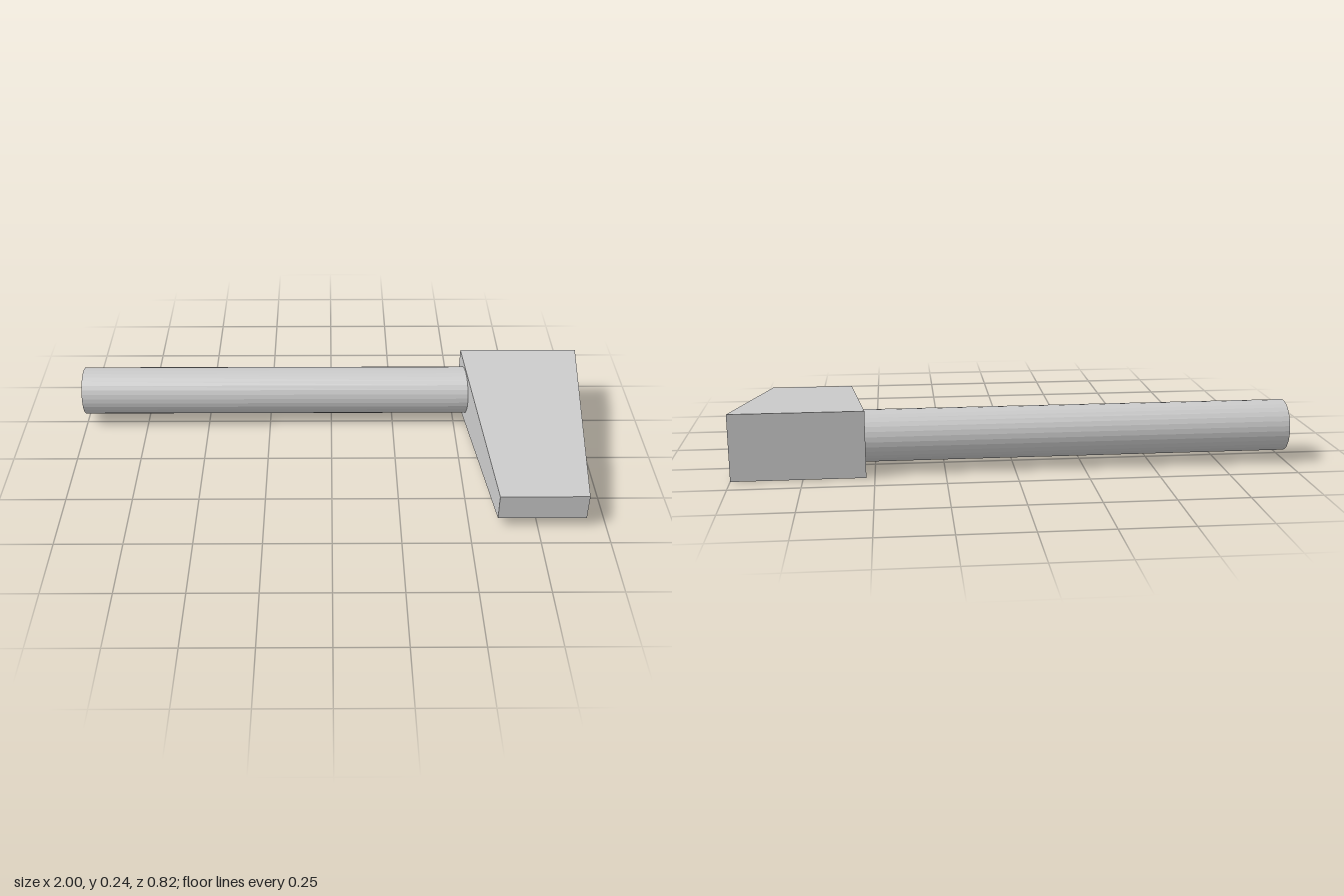
import * as THREE from 'three';

const material = new THREE.MeshStandardMaterial({ color: 0xcccccc, flatShading: true });

// Box whose back and front ends are different rectangles: { x: [min, max], y: [min, max], z }
function taperedBlock(back, front) {
  const geometry = new THREE.BoxGeometry(1, 1, 1);
  const p = geometry.attributes.position;
  for (let i = 0; i < p.count; i++) {
    const end = p.getZ(i) > 0 ? front : back;
    p.setXYZ(i, end.x[p.getX(i) > 0 ? 1 : 0], end.y[p.getY(i) > 0 ? 1 : 0], end.z);
  }
  geometry.computeVertexNormals();
  return geometry;
}

export function createModel() {
  const group = new THREE.Group();
  group.name = 'hammer';

  // Wedge-shaped head, narrowing towards the front
  const head = new THREE.Mesh(taperedBlock(
    { x: [0.53, 1], y: [0, 0.242], z: -0.41 },
    { x: [0.602, 0.925], y: [0.04, 0.14], z: 0.41 },
  ), material);
  head.name = 'head';
  group.add(head);

  // Straight round handle, its end set into the side of the head
  const start = -1, end = 0.57;
  const handle = new THREE.Mesh(new THREE.CylinderGeometry(0.094, 0.094, end - start, 32), material);
  handle.name = 'handle';
  handle.rotation.z = Math.PI / 2;
  handle.position.set((start + end) / 2, 0.123, -0.297);
  group.add(handle);

  return group;
}
